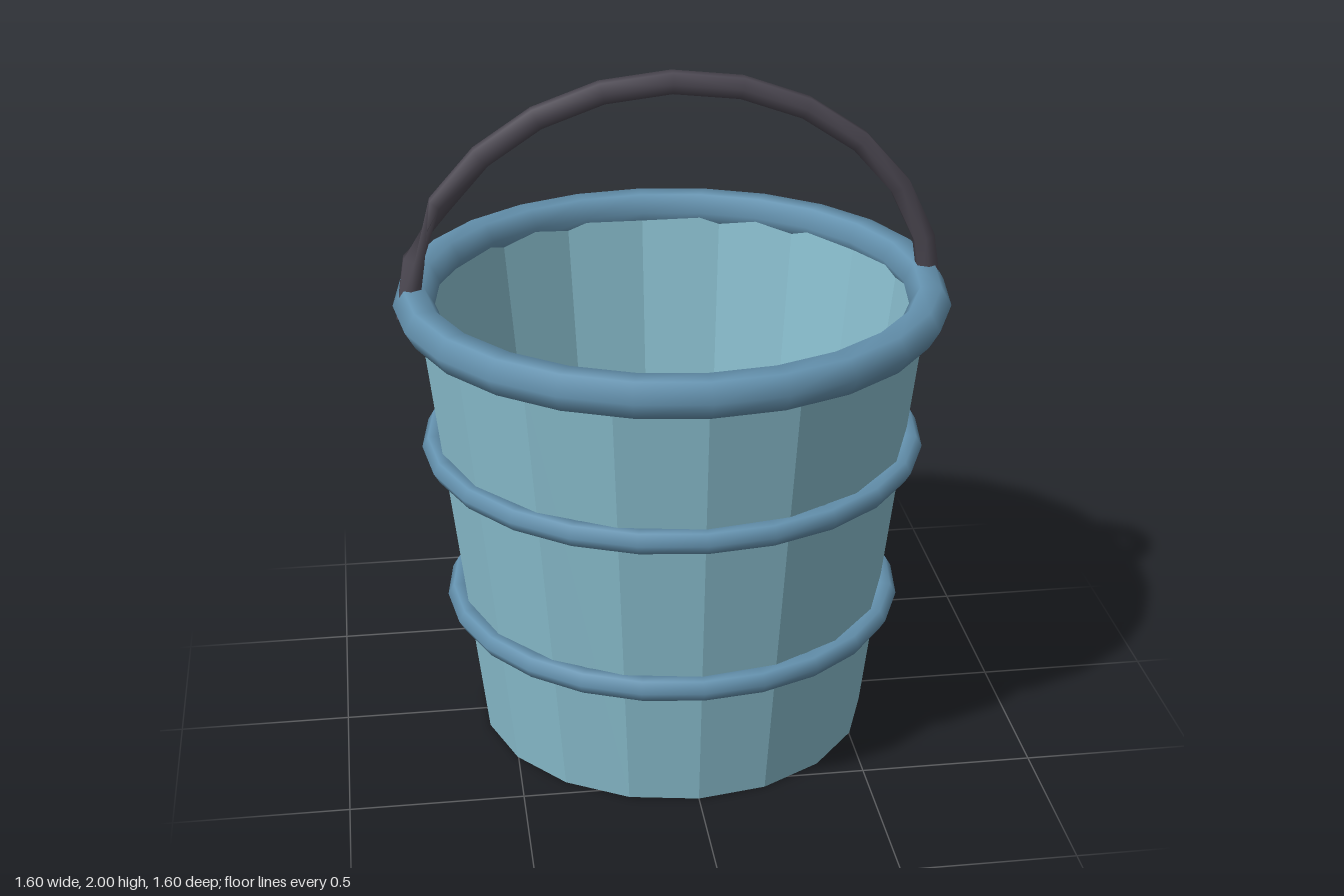
import * as THREE from 'three';

const bodyBlue = new THREE.MeshStandardMaterial({ color: 0x8abfcf, flatShading: true });
bodyBlue.name = 'bodyBlue';
const hoopBlue = new THREE.MeshStandardMaterial({ color: 0x6593b0 });
hoopBlue.name = 'hoopBlue';
const handleGrey = new THREE.MeshStandardMaterial({ color: 0x4b4751 });
handleGrey.name = 'handleGrey';

function addPart(parent, name, geometry, material) {
  const mesh = new THREE.Mesh(geometry, material);
  mesh.name = name;
  parent.add(mesh);
  return mesh;
}

// Half-ellipse bail swept with a six-sided section. The section's reference axis
// changes on steep stretches, which gives the single twist near the right end.
function handleGeometry(a, b, baseY, radius, steps, sides) {
  const positions = [], indices = [];
  for (let i = 0; i <= steps; i++) {
    const phi = Math.PI * (1 - i / steps);
    const centre = new THREE.Vector3(a * Math.cos(phi), baseY + b * Math.sin(phi), 0);
    const t = new THREE.Vector3(a * Math.sin(phi), -b * Math.cos(phi), 0).normalize();
    const ref = Math.abs(t.y) > 0.9 ? new THREE.Vector3(1, 0, 0) : new THREE.Vector3(0, 1, 0);
    const n = t.clone().cross(ref).normalize();
    const m = t.clone().cross(n);
    for (let j = 0; j < sides; j++) {
      const angle = (j / sides) * Math.PI * 2;
      const p = centre.clone()
        .addScaledVector(n, radius * Math.cos(angle))
        .addScaledVector(m, radius * Math.sin(angle));
      positions.push(p.x, p.y, p.z);
      if (i < steps) {
        const p0 = i * sides + j, p1 = i * sides + (j + 1) % sides;
        indices.push(p0, p1, p1 + sides, p0, p1 + sides, p0 + sides);
      }
    }
  }
  const geometry = new THREE.BufferGeometry();
  geometry.setAttribute('position', new THREE.Float32BufferAttribute(positions, 3));
  geometry.setIndex(indices);
  geometry.computeVertexNormals();
  return geometry;
}

export function createModel() {
  const bucket = new THREE.Group();
  bucket.name = 'bucket';

  // Tapered, hollow body with a floor
  const profile = [[0, 0], [0.58, 0], [0.74, 1.34], [0.7, 1.34], [0.545, 0.06], [0, 0.06]]
    .map(([r, y]) => new THREE.Vector2(r, y));
  addPart(bucket, 'body', new THREE.LatheGeometry(profile, 18), bodyBlue);

  // Rim and the two hoops
  const hoops = [
    ['rim', 0.74, 0.06, 1.345],
    ['upperHoop', 0.7, 0.035, 0.9],
    ['lowerHoop', 0.643, 0.035, 0.408],
  ];
  for (const [name, radius, tube, y] of hoops) {
    const ring = new THREE.TorusGeometry(radius, tube, 6, 24).rotateX(Math.PI / 2);
    addPart(bucket, name, ring, hoopBlue).position.y = y;
  }

  // Carrying handle with closed ends
  const handle = new THREE.Group();
  handle.name = 'handle';
  bucket.add(handle);
  addPart(handle, 'handleBar', handleGeometry(0.76, 0.66, 1.31, 0.035, 12, 6), handleGrey);
  for (const side of [1, -1]) {
    const cap = new THREE.CircleGeometry(0.035, 6).rotateZ(Math.PI / 2).rotateX(Math.PI / 2);
    addPart(handle, side > 0 ? 'leftHandleEnd' : 'rightHandleEnd', cap, handleGrey)
      .position.set(side * 0.76, 1.31, 0);
  }
  return bucket;
}
